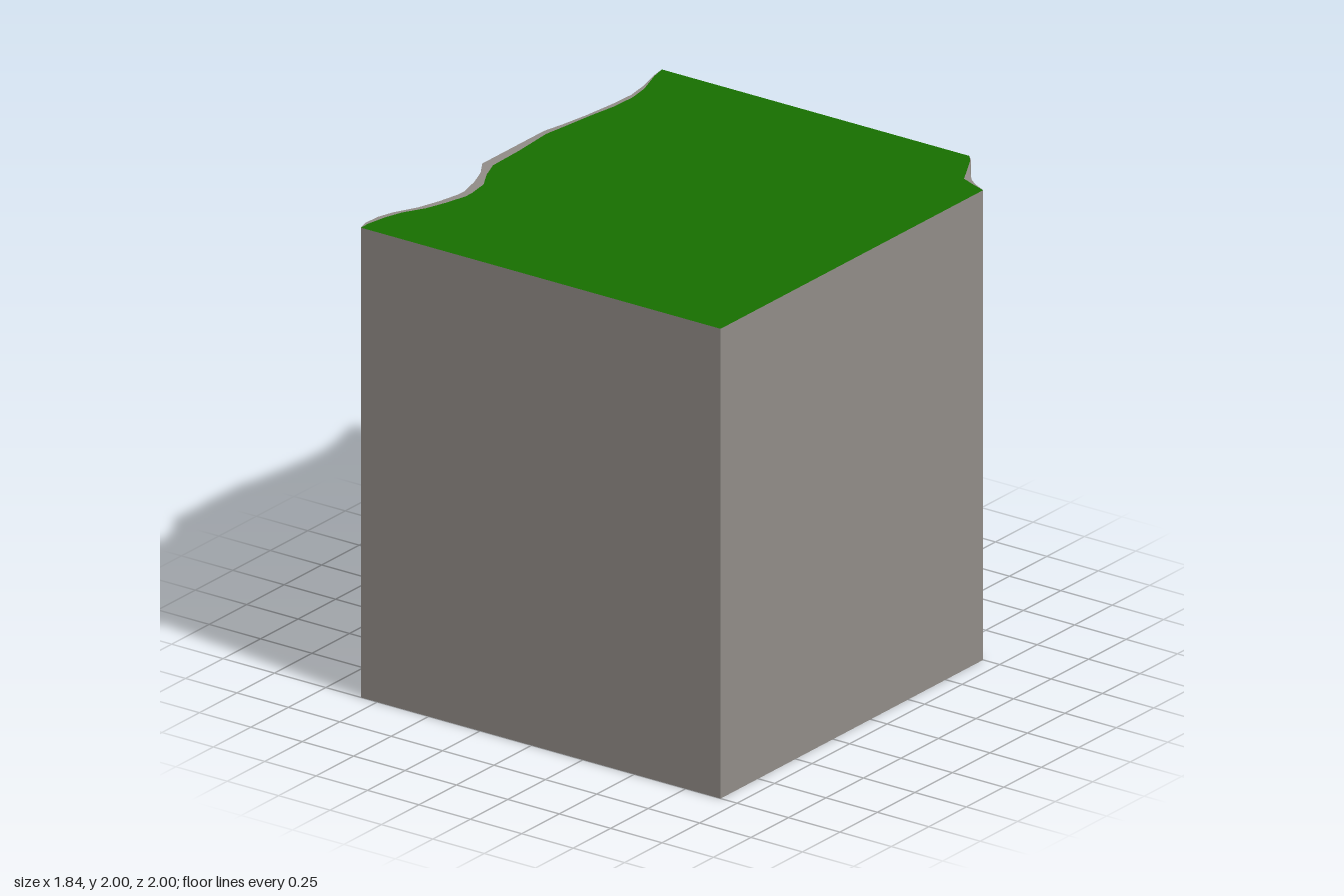
import * as THREE from 'three';

const rock = new THREE.MeshStandardMaterial({ color: 0x918c87, side: THREE.DoubleSide, flatShading: true });
const grass = new THREE.MeshStandardMaterial({ color: 0x176f00, side: THREE.DoubleSide });

// Strip of quads joining two outlines of [x, z] points at two heights
function band(name, low, yLow, high, yHigh, closed) {
  const pos = [];
  const count = closed ? low.length : low.length - 1;
  for (let i = 0; i < count; i++) {
    const j = (i + 1) % low.length;
    const a = [low[i][0], yLow, low[i][1]], b = [low[j][0], yLow, low[j][1]];
    const c = [high[j][0], yHigh, high[j][1]], d = [high[i][0], yHigh, high[i][1]];
    pos.push(...a, ...b, ...c, ...a, ...c, ...d);
  }
  const geo = new THREE.BufferGeometry();
  geo.setAttribute('position', new THREE.Float32BufferAttribute(pos, 3));
  geo.computeVertexNormals();
  const mesh = new THREE.Mesh(geo, rock);
  mesh.name = name;
  return mesh;
}

// Flat grass surface filling an outline
function lawn(name, outline, y) {
  const shape = new THREE.Shape(outline.map(([x, z]) => new THREE.Vector2(x, -z)));
  const mesh = new THREE.Mesh(new THREE.ShapeGeometry(shape).rotateX(-Math.PI / 2), grass);
  mesh.position.y = y;
  mesh.name = name;
  return mesh;
}

// One terrain step: open-bottomed wall, flat rock rim and grass inside the rim
function step(name, outer, inner, height, wall, closed) {
  const group = new THREE.Group();
  group.name = name;
  group.add(
    band(name + 'Wall', wall, 0, wall, height, closed),
    band(name + 'Rim', outer, height, inner, height, true),
    lawn(name + 'Grass', inner, height)
  );
  return group;
}

export function createModel() {
  const model = new THREE.Group();
  model.name = 'cliffBlock';

  // Main block: wavy cliff from back to front, straight sides, eroded back corner
  const cliff = [
    [-0.825, -1], [-0.815, -0.93], [-0.785, -0.82], [-0.77, -0.72], [-0.775, -0.6],
    [-0.79, -0.45], [-0.81, -0.32], [-0.83, -0.22], [-0.83, 0], [-0.83, 0.19],
    [-0.78, 0.27], [-0.745, 0.36], [-0.72, 0.46], [-0.72, 0.5], [-0.74, 0.6],
    [-0.77, 0.7], [-0.82, 0.8], [-0.84, 0.87], [-0.845, 0.95], [-0.83, 1]
  ];
  const cliffGrass = [
    [-0.825, -1], [-0.81, -0.93], [-0.765, -0.8], [-0.75, -0.7], [-0.755, -0.58],
    [-0.775, -0.45], [-0.79, -0.32], [-0.805, -0.2], [-0.79, 0], [-0.785, 0.18],
    [-0.75, 0.27], [-0.70, 0.36], [-0.685, 0.46], [-0.685, 0.5], [-0.71, 0.6],
    [-0.74, 0.69], [-0.79, 0.78], [-0.815, 0.86], [-0.83, 0.95], [-0.83, 1]
  ];
  const notch = [[0.92, 1], [0.92, -0.75], [0.86, -0.78], [0.82, -0.81], [0.77, -0.87], [0.70, -0.97], [0.67, -1]];
  const notchGrass = [[0.92, 1], [0.92, -0.75], [0.85, -0.775], [0.79, -0.8], [0.75, -0.875], [0.70, -0.965], [0.67, -1]];
  const block = [...cliff, ...notch];
  model.add(step('block', block, [...cliffGrass, ...notchGrass], 2, block, true));

  // Low ledge bulging out of the cliff foot
  const ledge = [
    [-0.83, -0.24], [-0.87, -0.1], [-0.88, 0.02], [-0.875, 0.2], [-0.91, 0.35],
    [-0.92, 0.5], [-0.90, 0.68], [-0.87, 0.78], [-0.84, 0.87]
  ];
  const ledgeBack = [[-0.82, 0.8], [-0.77, 0.7], [-0.74, 0.6], [-0.72, 0.5], [-0.745, 0.36], [-0.78, 0.27], [-0.83, 0.19], [-0.83, 0]];
  const ledgeGrass = [
    [-0.845, -0.13], [-0.858, -0.08], [-0.86, 0.03], [-0.86, 0.22], [-0.885, 0.35],
    [-0.89, 0.5], [-0.87, 0.68], [-0.85, 0.77], [-0.835, 0.78],
    [-0.82, 0.76], [-0.785, 0.68], [-0.755, 0.6], [-0.73, 0.5], [-0.76, 0.36], [-0.80, 0.27], [-0.84, 0.2], [-0.84, 0]
  ];
  model.add(step('ledge', [...ledge, ...ledgeBack], ledgeGrass, 1.06, ledge, false));

  // Small pillar standing against the cliff above the ledge
  const pillar = [[-0.78, 0.27], [-0.80, 0.33], [-0.81, 0.4], [-0.79, 0.46], [-0.765, 0.49], [-0.72, 0.5]];
  const pillarBack = [[-0.72, 0.46], [-0.745, 0.36]];
  const pillarGrass = [
    [-0.77, 0.31], [-0.785, 0.34], [-0.79, 0.4], [-0.775, 0.45], [-0.755, 0.475], [-0.725, 0.48],
    [-0.725, 0.45], [-0.752, 0.36]
  ];
  model.add(step('pillar', [...pillar, ...pillarBack], pillarGrass, 1.38, pillar, false));

  return model;
}
